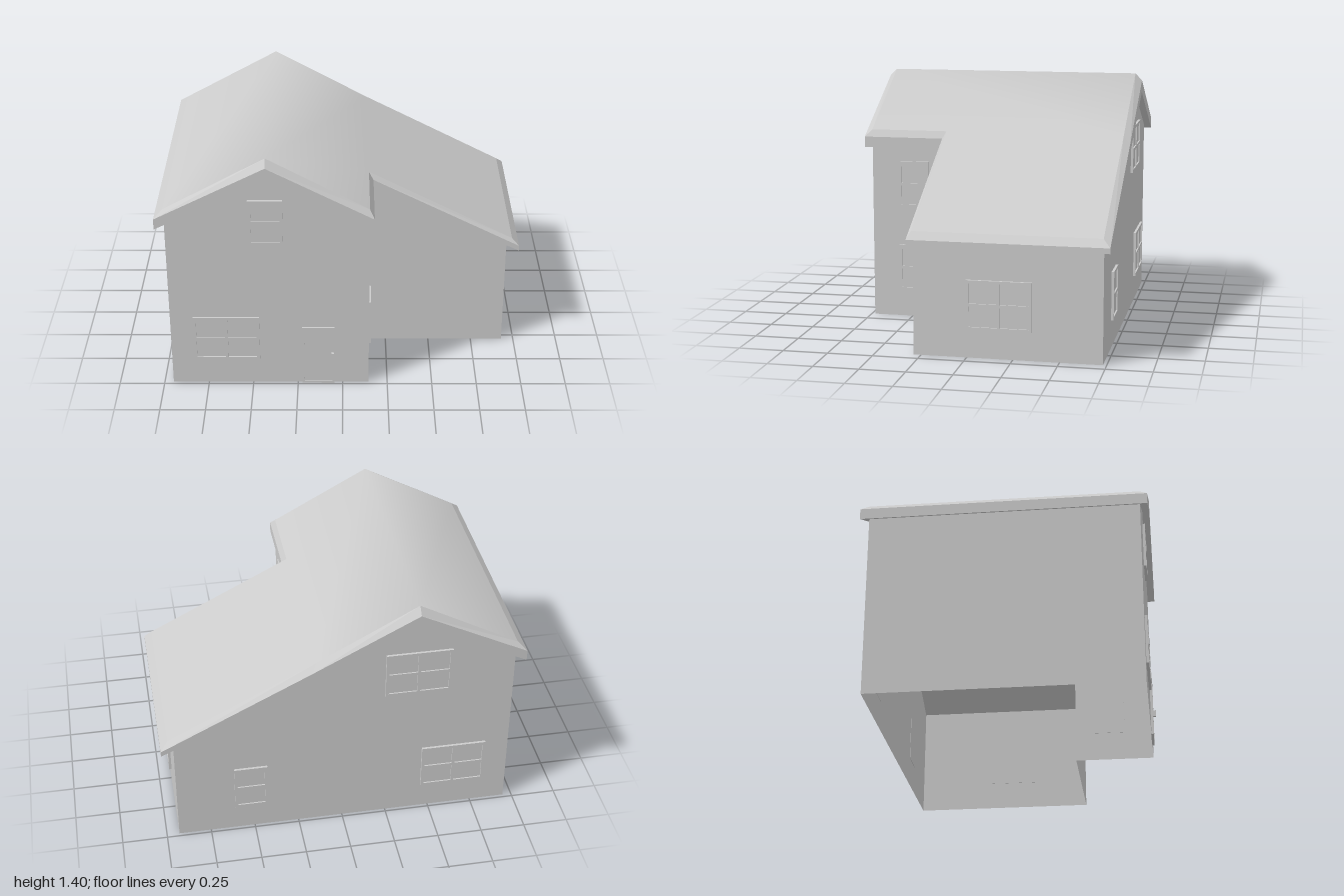
import * as THREE from 'three';

const grey = new THREE.MeshStandardMaterial({ color: 0xcccccc });
const flat = new THREE.MeshStandardMaterial({ color: 0xcccccc, flatShading: true });
const wallMat = new THREE.MeshStandardMaterial({ color: 0xcccccc, flatShading: true, side: THREE.DoubleSide });

// Roof plan, counter-clockwise seen from above: [x, z] of the eaves and of the inset top edge
const EAVES = [[-1, 0.77], [-0.405, 0.77], [0.17, 0.77], [0.17, 0.31], [1, 0.31],
  [1, -0.77], [0.17, -0.77], [-0.405, -0.77], [-1, -0.77]];
const INSET = [[-0.955, 0.73], [-0.405, 0.73], [0.145, 0.73], [0.145, 0.29], [0.96, 0.29],
  [0.96, -0.73], [0.145, -0.73], [-0.405, -0.73], [-0.955, -0.73]];
// Roof heights along x
const TOP = [[-0.955, 1.1], [-0.405, 1.4], [0.145, 1.1], [0.96, 0.68]];
const FASCIA = [[-1, 1.06], [-0.405, 1.36], [0.17, 1.06], [1, 0.64]];
const UNDER = [[-1, 1.0], [-0.405, 1.29], [0.17, 1.0], [1, 0.61]];
// Triangles covering the roof plan
const COVER = [0, 1, 7, 0, 7, 8, 1, 2, 3, 1, 3, 6, 1, 6, 7, 3, 4, 5, 3, 5, 6];

function heightAt(profile, x) {
  for (let i = 1; i < profile.length; i++) {
    const [x0, y0] = profile[i - 1], [x1, y1] = profile[i];
    if (x <= x1 + 1e-6) return y0 + (y1 - y0) * (x - x0) / (x1 - x0);
  }
  return profile[profile.length - 1][1];
}

const lift = (plan, profile) => plan.map(([x, z]) => [x, heightAt(profile, x), z]);

function meshFrom(name, points, index, material) {
  const geo = new THREE.BufferGeometry();
  geo.setAttribute('position', new THREE.Float32BufferAttribute(points.flat(), 3));
  geo.setIndex(index);
  geo.computeVertexNormals();
  const mesh = new THREE.Mesh(geo, material);
  mesh.name = name;
  return mesh;
}

// Side faces between stacked loops of n points, lowest loop first
function bands(n, loops) {
  const index = [];
  for (let l = 0; l < loops - 1; l++) {
    for (let i = 0; i < n; i++) {
      const a = l * n + i, b = l * n + (i + 1) % n;
      index.push(a, b, b + n, a, b + n, a + n);
    }
  }
  return index;
}

function createRoof() {
  const roof = new THREE.Group();
  roof.name = 'roof';
  const under = lift(EAVES, UNDER), fascia = lift(EAVES, FASCIA), top = lift(INSET, TOP);
  roof.add(meshFrom('roofSlopes', top, COVER, grey));
  roof.add(meshFrom('roofEdge', [...under, ...fascia, ...top], bands(9, 3), flat));
  roof.add(meshFrom('roofUnderside', under, [...COVER].reverse(), flat));
  return roof;
}

// Walls rise from an open base to the underside of the roof
function createWalls() {
  const plan = [[-0.95, 0.73], [-0.405, 0.73], [0.145, 0.73], [0.145, 0.29], [0.17, 0.29], [0.93, 0.29],
    [0.93, -0.73], [0.17, -0.73], [-0.405, -0.73], [-0.95, -0.73]];
  const base = plan.map(([x, z]) => [x, 0, z]);
  return meshFrom('walls', [...base, ...lift(plan, UNDER)], bands(plan.length, 2), wallMat);
}

function box(name, w, h, d, x, y, z) {
  const mesh = new THREE.Mesh(new THREE.BoxGeometry(w, h, d), grey);
  mesh.position.set(x, y, z);
  mesh.name = name;
  return mesh;
}

// Rectangular frame with a grid of openings, standing out from the wall at z = 0
function frame(name, w, h, cols, rows, border, depth) {
  const rect = (T, x, y, rw, rh) => new T([[x, y], [x + rw, y], [x + rw, y + rh], [x, y + rh]]
    .map(([px, py]) => new THREE.Vector2(px, py)));
  const shape = rect(THREE.Shape, -w / 2, 0, w, h);
  const pw = (w - border * (cols + 1)) / cols, ph = (h - border * (rows + 1)) / rows;
  for (let c = 0; c < cols; c++) {
    for (let r = 0; r < rows; r++) {
      shape.holes.push(rect(THREE.Path, -w / 2 + border + c * (pw + border), border + r * (ph + border), pw, ph));
    }
  }
  const mesh = new THREE.Mesh(new THREE.ExtrudeGeometry(shape, { depth, bevelEnabled: false }), grey);
  mesh.name = name;
  return mesh;
}

function createWindow(name, w, h, cols) {
  const win = new THREE.Group();
  win.name = name;
  win.add(frame('windowFrame', w, h, cols, 2, 0.016, 0.014));
  win.add(box('windowPane', w - 0.01, h - 0.01, 0.008, 0, h / 2, 0.002));
  return win;
}

function createDoor() {
  const door = new THREE.Group();
  door.name = 'door';
  door.add(frame('doorFrame', 0.18, 0.365, 1, 1, 0.012, 0.012));
  door.add(box('doorPanel', 0.17, 0.355, 0.01, 0, 0.1825, 0.003));
  door.add(box('doorHandle', 0.014, 0.035, 0.022, 0.079, 0.187, 0.015));
  door.position.set(-0.135, 0, 0.73);
  return door;
}

export function createModel() {
  const house = new THREE.Group();
  house.name = 'house';
  house.add(createWalls(), createRoof(), createDoor());

  // name, centre x, sill y, z, turn, width, height, columns
  const side = Math.PI / 2, back = Math.PI;
  const windows = [
    ['frontUpperWindow', -0.412, 0.89, 0.73, 0, 0.185, 0.265, 1],
    ['frontLowerWindow', -0.642, 0.16, 0.73, 0, 0.365, 0.27, 2],
    ['recessUpperWindow', 0.145, 0.65, 0.485, side, 0.18, 0.27, 1],
    ['recessLowerWindow', 0.145, 0.157, 0.485, side, 0.18, 0.27, 1],
    ['sideWindow', 0.93, 0.155, -0.175, side, 0.355, 0.27, 2],
    ['backUpperWindow', -0.415, 0.83, -0.73, back, 0.365, 0.27, 2],
    ['backLowerWindow', -0.635, 0.157, -0.73, back, 0.365, 0.27, 2],
    ['backSmallWindow', 0.515, 0.157, -0.73, back, 0.185, 0.27, 1],
  ];
  for (const [name, x, y, z, turn, w, h, cols] of windows) {
    const win = createWindow(name, w, h, cols);
    win.position.set(x, y, z);
    win.rotation.y = turn;
    house.add(win);
  }
  return house;
}
